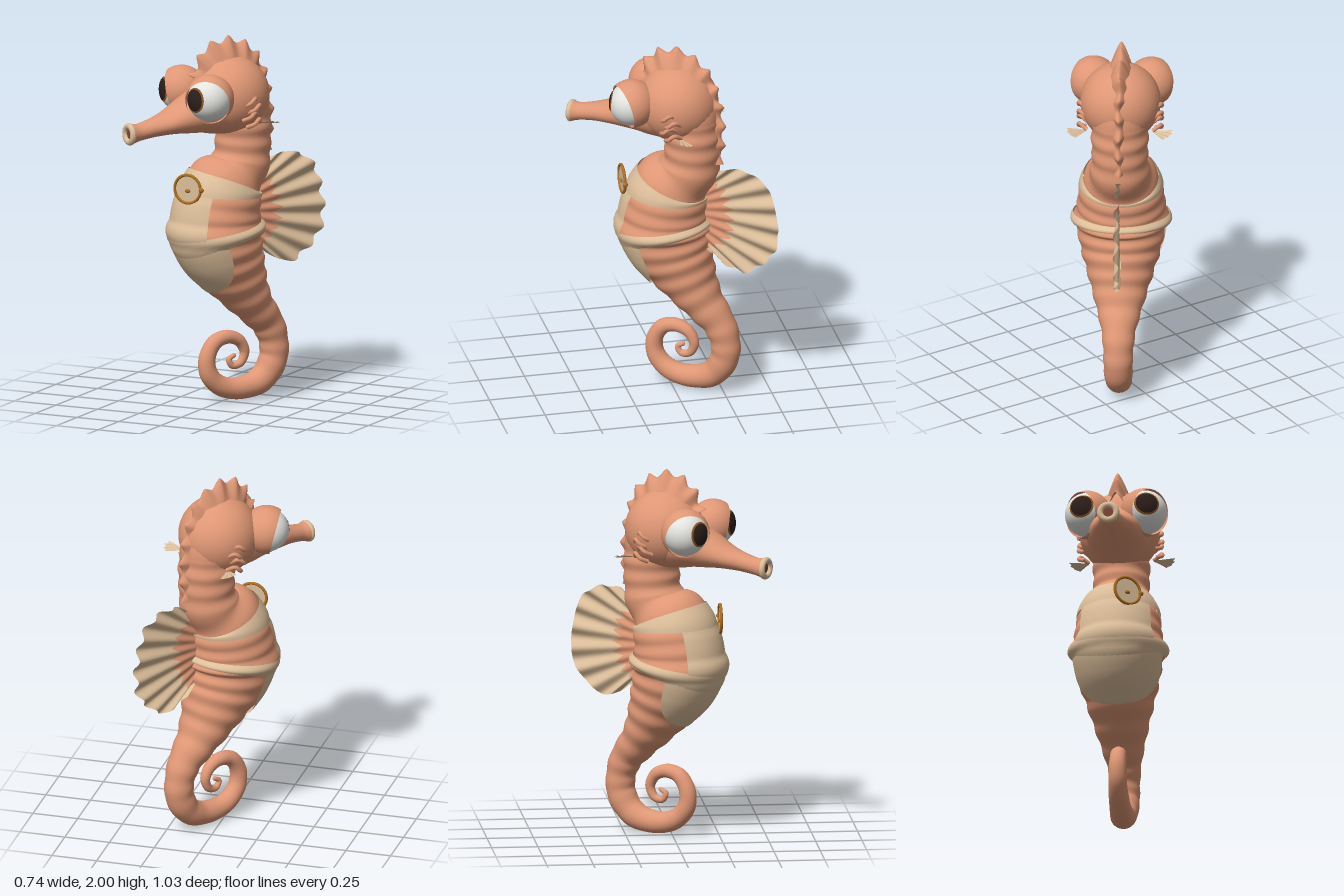
import * as THREE from 'three';
import { mergeVertices } from 'three/addons/utils/BufferGeometryUtils.js';

const mat = (name, color, side = THREE.FrontSide) => {
  const m = new THREE.MeshStandardMaterial({ color, side });
  m.name = name;
  return m;
};
const V = (x, y, z) => new THREE.Vector3(x, y, z);
const { lerp, smoothstep } = THREE.MathUtils;

// Smooth surface from a rule fn(u, v), both 0..1
function grid(fn, nu, nv) {
  const pos = [], idx = [];
  for (let i = 0; i <= nu; i++) for (let j = 0; j <= nv; j++) pos.push(...fn(i / nu, j / nv).toArray());
  for (let i = 0; i < nu; i++) for (let j = 0; j < nv; j++) {
    const a = i * (nv + 1) + j, b = a + nv + 1;
    idx.push(a, b, a + 1, b, b + 1, a + 1);
  }
  let g = new THREE.BufferGeometry();
  g.setAttribute('position', new THREE.Float32BufferAttribute(pos, 3));
  g.setIndex(idx);
  g = mergeVertices(g, 1e-5);
  g.computeVertexNormals();
  return g;
}

// Tube in the middle plane; rows are [forward, height, half width, half depth]
function sweep(rows, damp = () => 1) {
  const n = rows.length - 1;
  const path = new THREE.CatmullRomCurve3(rows.map(r => V(0, r[1], r[0])));
  const size = new THREE.CatmullRomCurve3(rows.map(r => V(r[2], r[3] ?? r[2], 0)));
  return (k, phi, grow = 1, off = 0) => {
    const u = Math.min(Math.max(k / n, 0), 1), e = 0.004;
    const c = path.getPoint(u), s = size.getPoint(u);
    const t = path.getPoint(Math.min(u + e, 1)).sub(path.getPoint(Math.max(u - e, 0)));
    t.z *= damp(k);
    t.normalize();
    const b = (s.y * grow + off) * Math.cos(phi);
    return V((s.x * grow + off) * Math.sin(phi), c.y + t.z * b, c.z - t.y * b);
  };
}

const bodyRows = [
  [-.12, 1.6, .15, .15], [-.125, 1.5, .153, .153], [-.125, 1.4, .15, .15], [-.105, 1.3, .16, .16], [-.005, 1.2, .2, .2],
  [.025, 1.1, .23, .23], [.04, 1, .238, .24], [.035, .9, .238, .24], [0, .8, .222, .222],
  [-.06, .7, .19, .183], [-.125, .6, .155, .14], [-.2, .5, .12, .105], [-.28, .4, .09, .088],
  [-.315, .3, .08], [-.31, .2, .078], [-.24, .1, .072], [-.125, .064, .062], [0, .08, .055],
  [.08, .15, .05], [.095, .24, .046], [.05, .325, .042], [-.025, .35, .038], [-.1, .325, .033],
  [-.135, .26, .027], [-.11, .2, .022], [-.06, .19, .018], [-.04, .225, .015], [-.07, .245, .012]];
const snoutRows = [
  [0, 1.62, .17, .15], [.12, 1.615, .17, .135], [.24, 1.585, .13, .095], [.34, 1.56, .1, .064],
  [.44, 1.54, .064, .05], [.52, 1.525, .05, .047], [.575, 1.52, .06, .058]];

export function createModel() {
  const skin = mat('coral skin', 0xdf9775);
  const skinThin = mat('coral fin', 0xdf9775, THREE.DoubleSide);
  const cream = mat('cream', 0xdcbe9a, THREE.DoubleSide);
  const white = mat('eye white', 0xe4e4e0);
  const iris = mat('iris brown', 0x8a5424);
  const dark = mat('pupil dark', 0x2b1e1a);
  const gold = mat('gold', 0xad6f22);
  const inner = mat('mouth brown', 0x7a4634);

  const root = new THREE.Group();
  const fish = new THREE.Group();
  fish.name = 'seahorse';
  fish.rotation.y = -0.6;
  root.add(fish);
  const add = (name, geo, m, parent = fish) => {
    const o = new THREE.Mesh(geo, m);
    o.name = name;
    parent.add(o);
    return o;
  };

  // Ribbed neck, torso and curled tail
  const surf = sweep(bodyRows, k => lerp(.5, 1, smoothstep(k, 8, 12)));
  add('body', grid((u, v) => {
    const k = u * 27;
    const torso = smoothstep(k, 3, 4) * (1 - smoothstep(k, 7, 8.5));
    const amp = .02 * (1 - smoothstep(k, 12, 17)) * (1 - .5 * torso) + .008;
    return surf(k, v * Math.PI * 2, 1 + amp * Math.cos(k * 6.6 + .4 * Math.cos(v * Math.PI * 2)));
  }, 300, 40), skin);
  const tailEnd = add('tailTip', new THREE.SphereGeometry(.0125, 10, 8), skin);
  tailEnd.position.set(0, .245, -.07);

  // Cloth patches lying on the torso
  const turn = Math.PI * 2;
  add('upperStrap', grid((u, v) => {
    const front = (1 + Math.cos(v * turn)) / 2;
    return surf(3.78 + .12 * front + u * .72, v * turn, 1.01, .008 + .006 * Math.sin(u * Math.PI));
  }, 6, 48), cream);
  add('lowerStrap', grid((u, v) => {
    const back = (1 - Math.cos(v * turn)) / 2;
    const k = lerp(7.15, 6.08, back) + (u - .5) * lerp(.9, .42, back);
    return surf(k, v * turn, 1.01, .005 + .01 * Math.sin(u * Math.PI));
  }, 8, 56), cream);
  add('chestPanel', grid((u, v) => surf(3.95 + u * 3.1, (v - .5) * 1.78, 1.012, .007), 24, 20), cream);
  add('bellyPanel', grid((u, v) =>
    surf(7.1 + u * 2.2, (v - .5) * 2.7 * Math.sqrt(Math.max(0, 1 - u ** 3.5)), 1.02, .008), 24, 20), cream);

  // Head, nape and snout
  const head = add('head', new THREE.SphereGeometry(1, 40, 28), skin);
  head.scale.set(.217, .215, .22);
  head.position.set(0, 1.68, -.04);
  const nape = add('nape', new THREE.SphereGeometry(1, 32, 24), skin);
  nape.scale.set(.15, .22, .15);
  nape.position.set(0, 1.6, -.12);
  const snoutSurf = sweep(snoutRows);
  add('snout', grid((u, v) => snoutSurf(u * 6, v * turn), 40, 32), skin);
  add('snoutRim', new THREE.TorusGeometry(.044, .017, 12, 28), cream).position.set(0, 1.52, .573);
  add('mouth', new THREE.CircleGeometry(.042, 24), inner).position.set(0, 1.52, .572);

  // Thick scalloped crest from forehead to nape
  const crest = new THREE.CatmullRomCurve3([[.21, 1.81], [.13, 1.95], [0, 2.005], [-.1, 1.99], [-.2, 1.93],
    [-.265, 1.83], [-.3, 1.72], [-.317, 1.62], [-.32, 1.5], [-.305, 1.35]].map(p => V(0, p[1], p[0])));
  add('crest', grid((u, v) => {
    const p = crest.getPointAt(u), w = v * 2 - 1;
    const d = V(0, Math.min(p.y, 1.66), -.06).sub(p).normalize();
    const dip = lerp(.042, .026, u) * Math.abs(Math.sin(u * 10 * Math.PI)) ** 1.4;
    p.addScaledVector(d, lerp(dip, .15, Math.abs(w) ** 1.4));
    p.x = -w * .065 + .005 * Math.sin(u * 10 * Math.PI);
    return p;
  }, 150, 12), skinThin);

  // Pleated back fin: coral root with a jagged edge, cream fan outside
  const rim = new THREE.CatmullRomCurve3([[-.22, 1.26], [-.33, 1.325], [-.46, 1.32], [-.56, 1.25], [-.605, 1.12],
    [-.62, 1], [-.6, .88], [-.52, .79], [-.42, .73], [-.3, .77], [-.22, .83]].map(p => V(0, p[1], p[0])));
  const finPoint = (r, v) => {
    const wave = Math.cos(v * 10 * turn);
    const p = V(0, lerp(1.2, .87, v), -.16).lerp(rim.getPointAt(v), r * (1 + .018 * wave * r));
    p.x = .015 * r * wave;
    return p;
  };
  const jag = v => .32 + .14 * Math.abs(((v * 12) % 1) * 2 - 1);
  const fin = new THREE.Group();
  fin.name = 'backFin';
  fish.add(fin);
  add('finRoot', grid((u, v) => finPoint(u * jag(v), v), 8, 144), skinThin, fin);
  add('finFan', grid((u, v) => finPoint(lerp(jag(v), 1, u), v), 10, 144), cream, fin);

  // Eyes, lids, cheek fins and cheek frills on both sides
  const up = V(0, 1, 0);
  for (const s of [1, -1]) {
    const side = s > 0 ? 'left' : 'right';
    const eye = new THREE.Group();
    eye.name = side + 'Eye';
    eye.position.set(s * .155, 1.7, .165);
    fish.add(eye);
    add('eyeball', new THREE.SphereGeometry(.12, 32, 24), white, eye);
    const gaze = V(s * .2, .06, .97).normalize();
    for (const [name, r, a, m] of [['iris', .1215, .59, iris], ['pupil', .123, .5, dark]])
      add(name, new THREE.SphereGeometry(r, 32, 10, 0, turn, 0, a), m, eye).quaternion.setFromUnitVectors(up, gaze);
    const lid = add('eyelid', new THREE.SphereGeometry(.132, 36, 20, 0, turn, 1.2, Math.PI - 1.2), skinThin, eye);
    lid.quaternion.setFromUnitVectors(up, V(s * .7, -.24, .68).normalize());

    add(side + 'CheekFin', grid((u, v) => {
      const a = (v - .5) * 1.1, r = u * (.125 + .006 * Math.cos(v * 3 * turn));
      const out = r * Math.cos(a), across = r * Math.sin(a) * .85;
      return V(s * (.17 + out * .8 + across * .45), 1.545 + out * .1 + across * .2 + .003 * u * Math.cos(v * 3 * turn),
        -.12 - out * .6 + across * .6);
    }, 6, 40), cream);

    for (let i = 0; i < 4; i++) {
      const y = 1.55 + i * .038, z = -.09 + .025 * (i % 2);
      const curl = new THREE.CatmullRomCurve3([V(s * .175, y, z - .04), V(s * .218, y + .025, z - .015),
        V(s * .222, y, z + .015), V(s * .19, y - .02, z + .045)]);
      add(side + 'CheekFrill', new THREE.TubeGeometry(curl, 12, .012, 8), skin);
    }
  }

  // Round medallion on the chest, facing straight ahead
  const medal = new THREE.Group();
  medal.name = 'medallion';
  medal.position.set(-.085, 1.2, .25);
  root.add(medal);
  add('medalRing', new THREE.TorusGeometry(.077, .008, 10, 40), gold, medal);
  add('medalDisc', new THREE.CircleGeometry(.075, 36), cream, medal);
  const knob = add('medalKnob', new THREE.SphereGeometry(.016, 12, 8), gold, medal);
  knob.scale.set(1, .7, .6);
  knob.position.y = -.01;
  add('medalBead', new THREE.SphereGeometry(.014, 12, 8), gold, medal).position.set(.082, 0, 0);

  return root;
}
